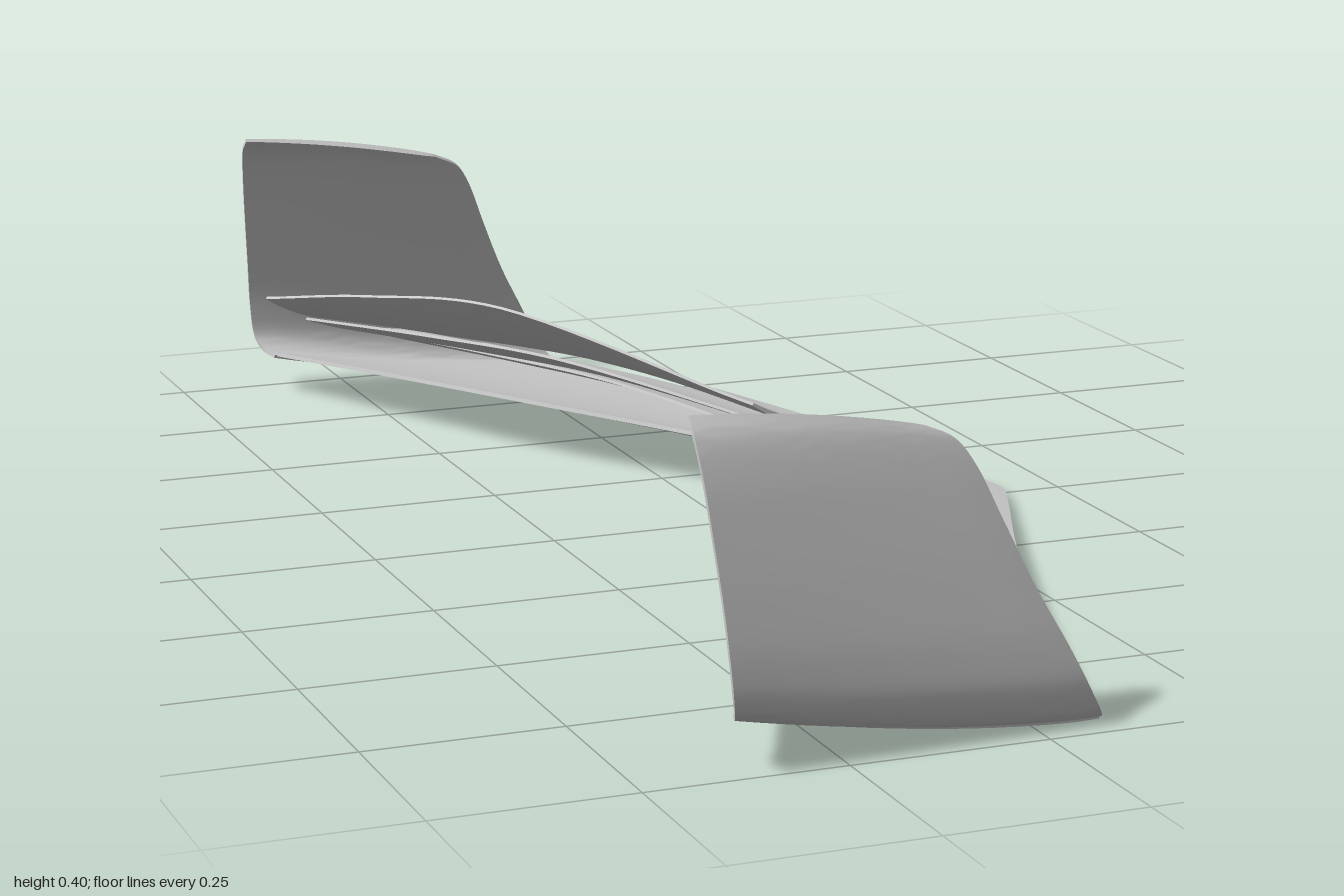
import * as THREE from 'three';
import { toCreasedNormals } from 'three/addons/utils/BufferGeometryUtils.js';

const material = new THREE.MeshStandardMaterial({ color: 0xcccccc, side: THREE.DoubleSide });

// Thin closed shell around the surface f(u, v); u runs along the chord.
function shell(name, f, nu, nv, thickness) {
  const pos = [], idx = [], e = 1e-3, ring = 2 * (nu + 1);
  for (let j = 0; j <= nv; j++) {
    const top = [], bottom = [];
    for (let i = 0; i <= nu; i++) {
      const u = i / nu, v = j / nv;
      const du = f(Math.min(u + e, 1), v).sub(f(Math.max(u - e, 0), v));
      const dv = f(u, Math.min(v + e, 1)).sub(f(u, Math.max(v - e, 0)));
      const half = thickness * (0.2 + 0.6 * Math.sqrt(u) * (1 - u));
      const n = du.cross(dv).normalize().multiplyScalar(half);
      const p = f(u, v);
      top.push(p.clone().add(n));
      bottom.unshift(p.clone().sub(n));
    }
    for (const p of [...top, ...bottom]) pos.push(p.x, p.y, p.z);
  }
  for (let j = 0; j < nv; j++) {
    for (let k = 0; k < ring; k++) {
      const a = j * ring + k, b = j * ring + (k + 1) % ring;
      idx.push(a, b, b + ring, a, b + ring, a + ring);
    }
  }
  // end caps
  for (let k = 0; k < nu; k++) {
    const t0 = k, t1 = k + 1, b1 = ring - 2 - k, b0 = ring - 1 - k, o = nv * ring;
    idx.push(t0, b1, t1, t0, b0, b1);
    idx.push(o + t0, o + t1, o + b1, o + t0, o + b1, o + b0);
  }
  const g = new THREE.BufferGeometry();
  g.setAttribute('position', new THREE.Float32BufferAttribute(pos, 3));
  g.setIndex(idx);
  const mesh = new THREE.Mesh(toCreasedNormals(g, 0.75), material);
  mesh.name = name;
  return mesh;
}

const spline = (pts) => new THREE.CatmullRomCurve3(pts.map((p) => new THREE.Vector3(...p)), false, 'centripetal');

// Wing surface from stations [z, leading x, leading y, trailing x, trailing y].
function wing(stations, sag) {
  const lead = spline(stations.map((s) => [s[1], s[2], s[0]]));
  const trail = spline(stations.map((s) => [s[3], s[4], s[0]]));
  return (u, t) => {
    const p = lead.getPoint(t).lerp(trail.getPoint(t), u);
    p.y -= sag * 4 * u * (1 - u);
    return p;
  };
}

// One-sided surface placed on either side, keeping the direction of z.
const onSide = (f, side) => (u, v) => {
  const p = f(u, side > 0 ? v : 1 - v);
  p.z *= side;
  return p;
};

export function createModel() {
  const group = new THREE.Group();
  group.name = 'frontWing';

  // full-span elements, mirrored about the centre
  const main = wing([
    [0, 0.41, 0.01, 0.12, 0.07], [0.03, 0.404, 0.011, 0.115, 0.071],
    [0.1, 0.375, 0.016, 0.085, 0.075], [0.42, 0.24, 0.032, -0.13, 0.085],
    [0.7, 0.15, 0.022, -0.26, 0.075], [0.955, 0.085, 0.006, -0.37, 0.062]], 0.01);
  const second = wing([
    [0, 0.368, 0.035, 0.1, 0.09], [0.03, 0.36, 0.037, 0.1, 0.09],
    [0.1, 0.325, 0.044, 0.09, 0.094], [0.42, 0.165, 0.065, -0.01, 0.105],
    [0.7, 0.065, 0.058, -0.11, 0.096], [0.975, -0.02, 0.043, -0.21, 0.082]], 0.006);
  const fullSpan = (f) => (u, v) => {
    const s = 2 * v - 1, p = f(u, Math.abs(s));
    if (s < 0) p.z *= -1;
    return p;
  };
  group.add(shell('mainPlane', fullSpan(main), 14, 80, 0.014));
  group.add(shell('secondElement', fullSpan(second), 10, 80, 0.01));

  // upper flaps, stopping short of the centre
  const third = wing([
    [0.065, 0.265, 0.07, 0.13, 0.1], [0.1, 0.247, 0.073, 0.1, 0.108],
    [0.42, 0.06, 0.1, -0.09, 0.145], [0.7, -0.045, 0.09, -0.2, 0.13],
    [0.975, -0.14, 0.074, -0.31, 0.108]], 0.006);
  const fourth = wing([
    [0.08, 0.178, 0.107, 0.07, 0.143], [0.12, 0.155, 0.112, 0.04, 0.153],
    [0.42, -0.03, 0.14, -0.18, 0.229], [0.7, -0.155, 0.127, -0.292, 0.198],
    [0.965, -0.26, 0.11, -0.375, 0.148]], 0.008);

  // endplate curling up out of the main plane and leaning inward
  const front = spline([
    [0.09, 0.005, 0.945], [0.085, 0.012, 0.96], [0.065, 0.045, 0.972], [0.037, 0.1, 0.968],
    [0, 0.17, 0.955], [-0.035, 0.25, 0.937], [-0.063, 0.315, 0.92], [-0.085, 0.345, 0.911], [-0.12, 0.362, 0.906]]);
  const rear = spline([
    [-0.37, 0.06, 0.945], [-0.38, 0.066, 0.975], [-0.388, 0.085, 0.993], [-0.393, 0.13, 0.995],
    [-0.398, 0.2, 0.985], [-0.404, 0.27, 0.971], [-0.41, 0.34, 0.954], [-0.414, 0.385, 0.936], [-0.413, 0.403, 0.918]]);
  const plate = (u, v) => {
    const p = front.getPoint(v).lerp(rear.getPoint(v), u);
    p.y -= 0.01 * 4 * u * (1 - u) * (1 - 1.6 * v);
    return p;
  };

  for (const side of [1, -1]) {
    const label = side > 0 ? 'left' : 'right';
    group.add(shell(label + 'ThirdElement', onSide(third, side), 10, 40, 0.01));
    group.add(shell(label + 'TopFlap', onSide(fourth, side), 10, 40, 0.01));
    group.add(shell(label + 'Endplate', onSide(plate, side), 16, 40, 0.012));
  }
  return group;
}
